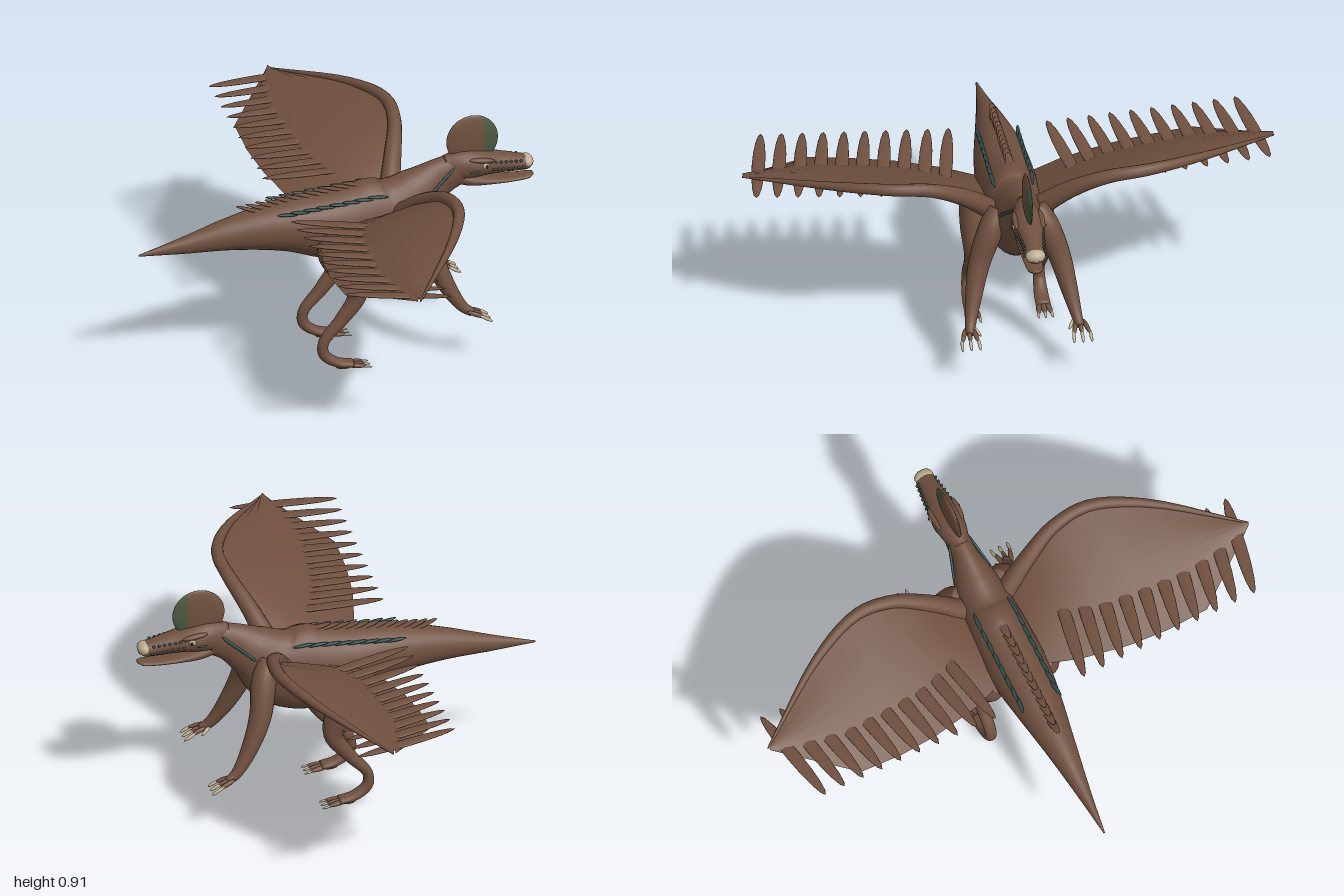
import * as THREE from 'three';

const mat = (name, color, side = THREE.FrontSide) => {
  const m = new THREE.MeshStandardMaterial({ color, side });
  m.name = name;
  return m;
};
const V = (p) => new THREE.Vector3(...p);

export function createModel() {
  const root = new THREE.Group();
  root.name = 'wingedCreature';
  const brown = mat('brownHide', 0x70503f);
  const membraneMat = mat('wingMembrane', 0x70503f, THREE.DoubleSide);
  const teal = mat('darkTeal', 0x2f4a49);
  const green = mat('crestGreen', 0x4c5841);
  const cream = mat('creamHorn', 0xbdae92);
  const black = mat('pupilBlack', 0x17140f);

  const add = (geo, material, name, parent = root) => {
    const m = new THREE.Mesh(geo, material);
    m.name = name;
    parent.add(m);
    return m;
  };

  // Smooth elliptical loft; rows are [x, y, z, radiusUp, radiusSide]
  function loft(rows, ref = [0, 0, 1], steps = 6, sides = 20) {
    const path = new THREE.CatmullRomCurve3(rows.map((r) => V(r.slice(0, 3))));
    const radii = new THREE.CatmullRomCurve3(rows.map((r) => new THREE.Vector3(r[3], r[4] ?? r[3], 0)), false, 'catmullrom', 0.5);
    const n = (rows.length - 1) * steps, pos = [], idx = [];
    for (let i = 0; i <= n; i++) {
      const p = path.getPoint(i / n), t = path.getTangent(i / n), r = radii.getPoint(i / n);
      const up = V(ref).cross(t).normalize(), side = t.clone().cross(up);
      for (let j = 0; j < sides; j++) {
        const a = (j / sides) * Math.PI * 2;
        const q = p.clone().addScaledVector(up, Math.max(r.x, 0.001) * Math.cos(a))
          .addScaledVector(side, Math.max(r.y, 0.001) * Math.sin(a));
        pos.push(q.x, q.y, q.z);
        if (i < n) {
          const k = (j + 1) % sides, A = i * sides + j, B = i * sides + k;
          idx.push(A, B, A + sides, B, B + sides, A + sides);
        }
      }
    }
    const c0 = pos.length / 3, last = n * sides;
    pos.push(...rows[0].slice(0, 3), ...rows[rows.length - 1].slice(0, 3));
    for (let j = 0; j < sides; j++) {
      const k = (j + 1) % sides;
      idx.push(c0, k, j, c0 + 1, last + j, last + k);
    }
    const g = new THREE.BufferGeometry();
    g.setAttribute('position', new THREE.Float32BufferAttribute(pos, 3));
    g.setIndex(idx);
    g.computeVertexNormals();
    return g;
  }

  // Long ellipsoid between two points: feathers, toes, claws, stripes
  const ball = new THREE.SphereGeometry(1, 16, 10);
  function blade(material, name, from, to, width, thick, ref = [0, 0, 1], parent = root) {
    const a = V(from), b = V(to), x = b.clone().sub(a), len = x.length();
    x.normalize();
    const z = V(ref).addScaledVector(x, -V(ref).dot(x)).normalize();
    const m = add(ball, material, name, parent);
    m.quaternion.setFromRotationMatrix(new THREE.Matrix4().makeBasis(x, z.clone().cross(x), z));
    m.position.copy(a.add(b).multiplyScalar(0.5));
    m.scale.set(len / 2, thick / 2, width / 2);
    return m;
  }
  function blob(material, name, p, s, parent = root) {
    const m = add(ball, material, name, parent);
    m.position.set(...p);
    m.scale.set(...s);
  }

  // Tail, torso and neck
  add(loft([
    [-0.77, 0.512, 0, 0.003, 0.003], [-0.6, 0.53, 0, 0.032, 0.027], [-0.4, 0.555, 0, 0.066, 0.06],
    [-0.2, 0.562, 0, 0.102, 0.095], [-0.05, 0.545, 0, 0.135, 0.112], [0.1, 0.53, 0, 0.17, 0.112],
    [0.22, 0.555, 0, 0.155, 0.102], [0.32, 0.625, 0, 0.105, 0.078], [0.4, 0.675, 0, 0.077, 0.05],
    [0.48, 0.705, 0, 0.062, 0.045]], undefined, 6, 28), brown, 'body');

  // Head, jaw and horn tip
  const head = new THREE.Group();
  head.name = 'head';
  root.add(head);
  add(loft([
    [0.42, 0.705, 0, 0.055, 0.035], [0.49, 0.715, 0, 0.06, 0.054], [0.56, 0.715, 0, 0.05, 0.06],
    [0.62, 0.708, 0, 0.042, 0.048], [0.69, 0.697, 0, 0.034, 0.039], [0.74, 0.69, 0, 0.026, 0.034],
    [0.757, 0.685, 0, 0.01, 0.015]]), brown, 'skull', head);
  add(loft([
    [0.46, 0.672, 0, 0.03, 0.035], [0.52, 0.654, 0, 0.026, 0.046], [0.6, 0.641, 0, 0.016, 0.042],
    [0.68, 0.635, 0, 0.011, 0.035], [0.74, 0.637, 0, 0.01, 0.028], [0.76, 0.642, 0, 0.005, 0.014]]), brown, 'lowerJaw', head);
  blob(cream, 'hornTip', [0.733, 0.696, 0], [0.028, 0.026, 0.038], head);

  // Thin disc crest with a green front cap
  const capAngle = 1.13;
  [['crestFront', green, 0, capAngle], ['crestBack', brown, capAngle, Math.PI - capAngle]].forEach(([name, m, a, l]) => {
    const g = new THREE.SphereGeometry(1, 32, 20, 0, Math.PI * 2, a, l);
    g.rotateZ(-Math.PI / 2).scale(0.1, 0.1, 0.015).translate(0.525, 0.812, 0);
    add(g, m, name, head);
  });

  // Feathers along the spine
  for (let i = 0; i < 12; i++) {
    const x = 0.1 - i * 0.037, y = 0.69 - i * 0.0055;
    blade(brown, 'spineFeather', [x + 0.03, y - 0.01, 0], [x - 0.085, y + 0.012 + i * 0.002, 0], 0.032, 0.01);
  }

  for (const s of [1, -1]) {
    const side = s > 0 ? 'near' : 'far';
    const group = (name) => {
      const g = new THREE.Group();
      g.name = side + name;
      root.add(g);
      return g;
    };
    const flip = (rows) => rows.map(([x, y, z, ...r]) => [x, y, z * s, ...r]);

    // Wing: arm along the leading edge, membrane, feather row
    const wing = group('Wing');
    const lead = flip([
      [0.22, 0.575, 0.07, 0.042], [0.275, 0.685, 0.2, 0.033], [0.322, 0.757, 0.335, 0.026],
      [0.33, 0.778, 0.48, 0.023], [0.25, 0.762, 0.68, 0.017], [0.03, 0.695, 1.0, 0.003]]);
    add(loft(lead, [0, 1, 0], 5, 14), brown, 'wingArm', wing);
    const trail = flip([
      [-0.08, 0.545, 0.09], [-0.13, 0.563, 0.22], [-0.17, 0.585, 0.4],
      [-0.185, 0.6, 0.55], [-0.185, 0.622, 0.72], [0.02, 0.693, 0.995]]);
    const cols = 8, pos = [], idx = [];
    lead.forEach((a, i) => {
      for (let j = 0; j <= cols; j++) {
        const t = j / cols, p = V(a.slice(0, 3)).lerp(V(trail[i]), t);
        pos.push(p.x, p.y + 0.015 * Math.sin(t * Math.PI), p.z);
        if (i < lead.length - 1 && j < cols) {
          const k = i * (cols + 1) + j, q = k + cols + 1;
          idx.push(...(s > 0 ? [k, k + 1, q, k + 1, q + 1, q] : [k, q, k + 1, k + 1, q, q + 1]));
        }
      }
    });
    const sheet = new THREE.BufferGeometry();
    sheet.setAttribute('position', new THREE.Float32BufferAttribute(pos, 3));
    sheet.setIndex(idx);
    sheet.computeVertexNormals();
    add(sheet, membraneMat, 'wingMembrane', wing);
    for (let i = 0; i < 10; i++) {
      const z = 0.185 + i * 0.0785, y = 0.667 + i * 0.0045;
      blade(brown, 'wingFeather', [-0.235, y, z * s], [0.16, y - 0.045 + i * 0.002, (z + 0.075) * s], 0.05, 0.014, [0, 0, 1], wing);
    }

    // Front limb with three clawed fingers
    const arm = group('Arm');
    add(loft(flip([
      [0.27, 0.62, 0.07, 0.04], [0.3, 0.55, 0.105, 0.048], [0.325, 0.43, 0.15, 0.042], [0.375, 0.31, 0.18, 0.032],
      [0.43, 0.225, 0.2, 0.021], [0.465, 0.2, 0.207, 0.016]])), brown, 'forelimb', arm);
    for (const f of [-1, 0, 1]) {
      const z = (0.208 + f * 0.014) * s, z2 = (0.21 + f * 0.03) * s;
      blade(brown, 'finger', [0.44, 0.212, z], [0.505, 0.19, z2], 0.018, 0.018, [0, 0, 1], arm);
      blade(cream, 'claw', [0.485, 0.198, z2], [0.535, 0.17, z2 + f * s * 0.004], 0.013, 0.013, [0, 0, 1], arm);
    }
    blade(cream, 'thumbClaw', [0.43, 0.215, 0.19 * s], [0.47, 0.19, 0.165 * s], 0.013, 0.013, [0, 0, 1], arm);

    // Hind leg with three toes
    const leg = group('Leg');
    add(loft(flip([
      [-0.06, 0.545, 0.09, 0.045, 0.04], [-0.035, 0.485, 0.115, 0.075, 0.055], [0.01, 0.39, 0.13, 0.064, 0.048],
      [0.04, 0.3, 0.133, 0.038, 0.035], [-0.02, 0.205, 0.133, 0.026, 0.026], [-0.09, 0.12, 0.134, 0.02, 0.022],
      [-0.09, 0.07, 0.135, 0.021, 0.023], [-0.04, 0.03, 0.135, 0.018, 0.027], [0.02, 0.018, 0.135, 0.013, 0.028]])), brown, 'hindLimb', leg);
    blade(brown, 'heel', [-0.045, 0.01, 0.135 * s], [0.03, 0.014, 0.135 * s], 0.045, 0.02, [0, 0, 1], leg);
    for (const f of [-1, 0, 1]) {
      const z = (0.135 + f * 0.024) * s;
      blade(brown, 'toe', [-0.01, 0.018, (0.135 + f * 0.012) * s], [0.068, 0.01, z], 0.022, 0.018, [0, 0, 1], leg);
      blade(cream, 'toeClaw', [0.05, 0.012, z], [0.09, 0.004, z + f * s * 0.003], 0.011, 0.008, [0, 0, 1], leg);
    }

    // Teal feathers on the back, neck and flank
    for (let i = 0; i < 8; i++) {
      const x = 0.16 - i * 0.05, y = 0.664 - i * 0.0035;
      blade(teal, 'backStripe', [x + 0.02, y - 0.008, 0.07 * s], [x - 0.065, y + 0.004, 0.078 * s], 0.016, 0.012, [0, 0, 1], root);
    }
    for (let i = 0; i < 5; i++) {
      const x = 0.335 + i * 0.02, y = 0.625 + i * 0.016, z = (0.077 - i * 0.006) * s;
      blade(teal, 'neckStripe', [x + 0.03, y + 0.035, z - 0.012 * s], [x - 0.02, y - 0.01, z], 0.01, 0.012, [0, 0, 1], root);
    }
    blade(teal, 'flankStripe', [0.25, 0.61, 0.09 * s], [0.16, 0.5, 0.112 * s], 0.008, 0.012, [0, 0, 1], root);

    // Brow, eye and snout spots
    blade(brown, 'brow', [0.5, 0.75, 0.048 * s], [0.6, 0.737, 0.05 * s], 0.024, 0.02, [0, 0, 1], head);
    blob(cream, 'eye', [0.562, 0.722, 0.055 * s], [0.014, 0.012, 0.009], head);
    blob(black, 'pupil', [0.565, 0.722, 0.062 * s], [0.006, 0.007, 0.004], head);
    for (let i = 0; i < 14; i++) {
      const x = 0.585 + (i % 7) * 0.02, row = Math.floor(i / 7);
      const t = (x - 0.585) / 0.12;
      blob(teal, 'snoutSpot', [x + row * 0.008, 0.73 - t * 0.015 - row * 0.028, (0.049 - t * 0.013 + row * 0.003) * s], [0.006, 0.005, 0.005], head);
    }
    blade(teal, 'cheekStripe', [0.5, 0.7, 0.052 * s], [0.55, 0.705, 0.057 * s], 0.009, 0.01, [0, 0, 1], head);
  }
  return root;
}
